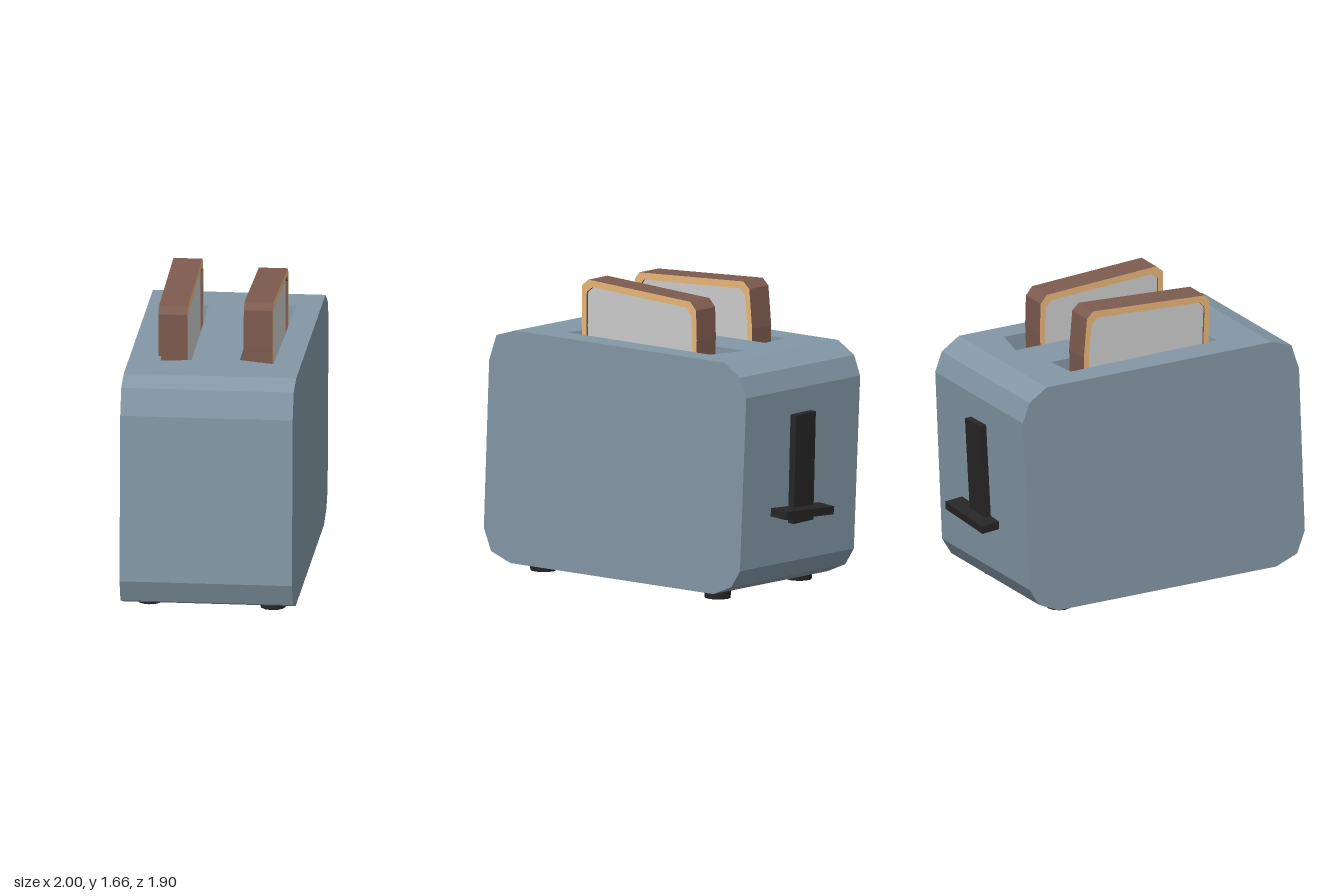
import * as THREE from 'three';

const paint = (color, side = THREE.FrontSide) => new THREE.MeshStandardMaterial({ color, side, flatShading: true });

// Parts are laid out along the body (x = length, z = depth), then turned into place with a slight hand-made skew.
const PLACE = new THREE.Matrix4().set(
  0.792, 0, 0.576, 0,
  0, 1, 0.02, 0,
  -0.61, 0, 0.817, 0,
  0, 0, 0, 1
);

const HALF_DEPTH = 0.477;
const PROFILE = [
  [-0.70, 1.335], [-0.827, 1.295], [-0.878, 1.15], [-0.915, 0.21], [-0.865, 0.085], [-0.73, 0.035],
  [0.685, 0.04], [0.81, 0.095], [0.87, 0.19], [0.914, 1.16], [0.872, 1.27], [0.76, 1.34],
];
const topY = (x) => 1.335 + 0.005 * (x + 0.70) / 1.46;

const toShape = (points) => new THREE.Shape(points.map(([x, y]) => new THREE.Vector2(x, y)));

function quads(list) {
  const pos = [];
  for (const [a, b, c, d] of list) pos.push(...a, ...b, ...c, ...a, ...c, ...d);
  const geo = new THREE.BufferGeometry();
  geo.setAttribute('position', new THREE.Float32BufferAttribute(pos, 3));
  geo.computeVertexNormals();
  return geo;
}

export function createModel() {
  const model = new THREE.Group();
  model.name = 'toaster';
  const add = (name, geo, mat, parent = model) => {
    geo.applyMatrix4(PLACE);
    const mesh = new THREE.Mesh(geo, mat);
    mesh.name = name;
    parent.add(mesh);
    return mesh;
  };
  const group = (name) => {
    const g = new THREE.Group();
    g.name = name;
    model.add(g);
    return g;
  };

  const shell = paint(0x8397a5, THREE.DoubleSide);
  const black = paint(0x262626);
  const crust = paint(0x7d5b4f);
  const rim = paint(0xe8b677);
  const crumb = paint(0xcccccc);

  // Shell: two flat faces joined by a chamfered band, open at the top
  const body = group('body');
  add('frontPanel', new THREE.ShapeGeometry(toShape(PROFILE)).translate(0, 0, HALF_DEPTH), shell, body);
  add('backPanel', new THREE.ShapeGeometry(toShape(PROFILE.map(([x, y]) => [-x, y])))
    .rotateY(Math.PI).translate(0, 0, -HALF_DEPTH), shell, body);
  const band = [];
  for (let i = 0; i < PROFILE.length - 1; i++) {
    const p = PROFILE[i], q = PROFILE[i + 1];
    band.push([[...p, -HALF_DEPTH], [...q, -HALF_DEPTH], [...q, HALF_DEPTH], [...p, HALF_DEPTH]]);
  }
  add('sideBand', quads(band), shell, body);

  // Top plate with two uneven bread slots, corners given as [x, z]
  const slots = [
    [[0.514, -0.325], [0.531, -0.141], [-0.435, -0.13], [-0.456, -0.3]],
    [[0.605, 0.122], [0.549, 0.337], [-0.464, 0.326], [-0.41, 0.133]],
  ];
  const plate = toShape([[-0.70, -HALF_DEPTH], [0.76, -HALF_DEPTH], [0.76, HALF_DEPTH], [-0.70, HALF_DEPTH]]);
  for (const s of slots) plate.holes.push(new THREE.Path(s.map(([x, z]) => new THREE.Vector2(x, -z))));
  const plateGeo = new THREE.ShapeGeometry(plate).rotateX(-Math.PI / 2);
  const platePos = plateGeo.attributes.position;
  for (let i = 0; i < platePos.count; i++) platePos.setY(i, topY(platePos.getX(i)));
  add('topPlate', plateGeo, shell, body);

  // Slot wells narrow slightly towards the floor
  for (const s of slots) {
    const rimLoop = s.map(([x, z]) => [x, topY(x), z]);
    const floorLoop = s.map(([x, z]) => [0.02 + (x - 0.02) * 0.88, 0.85, z]);
    const walls = rimLoop.map((p, i) => {
      const j = (i + 1) % 4;
      return [p, rimLoop[j], floorLoop[j], floorLoop[i]];
    });
    add('slotWell', quads([...walls, [...floorLoop].reverse()]), shell, body);
  }

  // Bread slices: a crust ring with pale rims around a slightly recessed crumb
  const slices = [
    { z: -0.24, outer: [[-0.37, 0.9], [0.41, 0.9], [0.425, 1.4], [0.405, 1.62], [0.365, 1.658], [-0.36, 1.618], [-0.392, 1.58], [-0.385, 1.4]] },
    { z: 0.23, outer: [[-0.36, 0.9], [0.41, 0.9], [0.43, 1.4], [0.425, 1.565], [0.385, 1.61], [-0.325, 1.645], [-0.368, 1.61], [-0.372, 1.4]] },
  ];
  for (const { z, outer } of slices) {
    const slice = group('breadSlice');
    const inner = outer.map(([x, y]) => [0.025 + (x - 0.025) * 0.92, 1.25 + (y - 1.25) * 0.9]);
    const ring = toShape(outer);
    ring.holes.push(toShape(inner));
    add('crust', new THREE.ExtrudeGeometry(ring, { depth: 0.16, bevelEnabled: false })
      .translate(0, 0, z - 0.08), [rim, crust], slice);
    add('crumb', new THREE.ExtrudeGeometry(toShape(inner), { depth: 0.135, bevelEnabled: false })
      .translate(0, 0, z - 0.0675), crumb, slice);
  }

  // Lever track leaning with the end wall, and its knob
  const lever = group('lever');
  add('leverTrack', new THREE.BoxGeometry(0.08, 0.61, 0.165)
    .rotateZ(-0.046).rotateX(0.02).translate(0.893, 0.716, 0.01), black, lever);
  add('leverKnob', new THREE.BoxGeometry(0.11, 0.045, 0.4)
    .rotateX(-0.05).rotateZ(-0.08).translate(0.937, 0.475, 0.035), black, lever);

  // Feet
  for (const x of [-0.615, 0.6]) {
    for (const z of [-0.34, 0.34]) {
      add('foot', new THREE.CylinderGeometry(0.075, 0.07, 0.045, 12)
        .translate(x, 0.0225 - 0.02 * z, z), black);
    }
  }
  return model;
}
